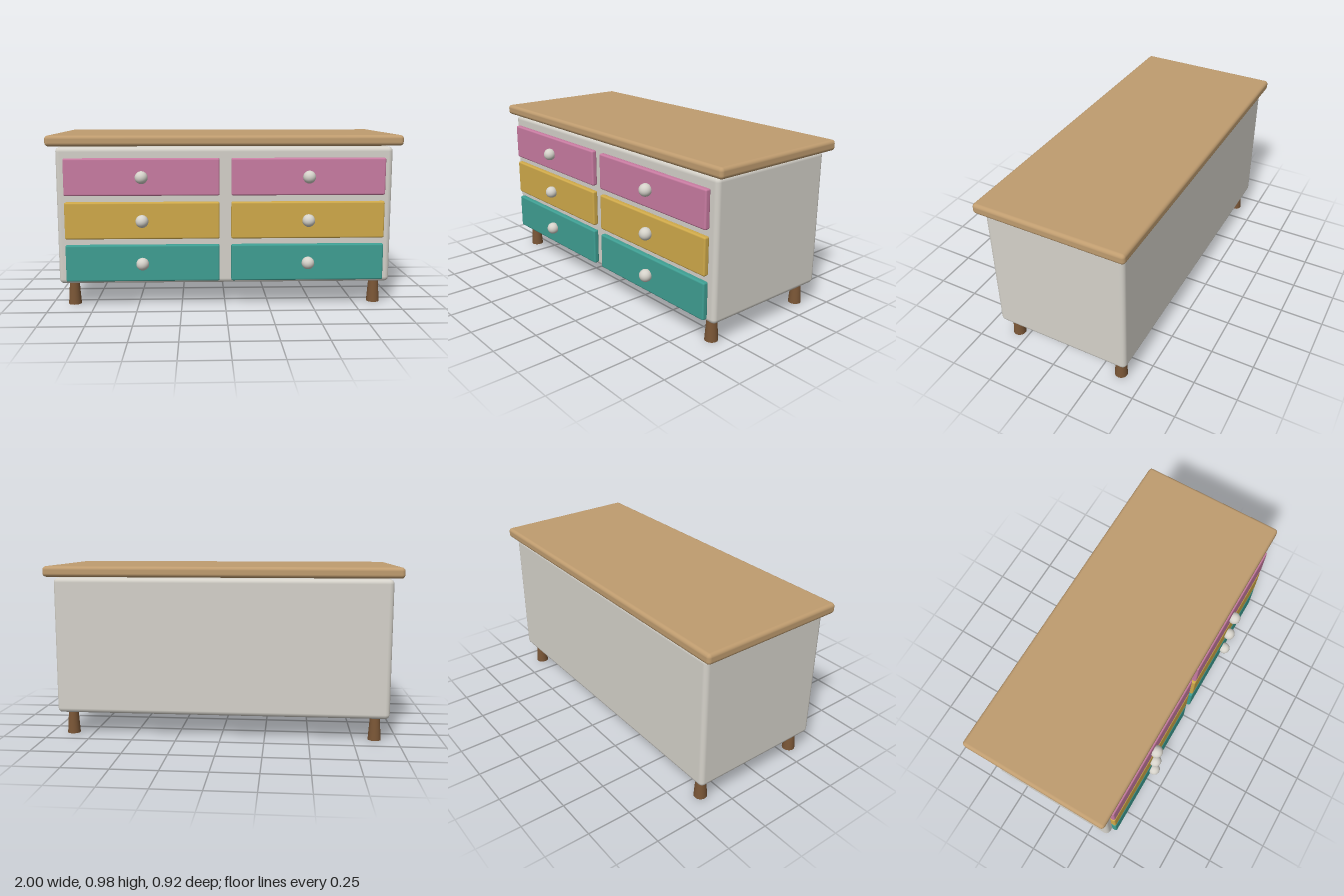
import * as THREE from 'three';
import { RoundedBoxGeometry } from 'three/addons/geometries/RoundedBoxGeometry.js';

const paint = (color) => new THREE.MeshStandardMaterial({ color });

export function createModel() {
  const model = new THREE.Group();
  const cream = paint(0xd5d2ca);
  const wood = paint(0xbf9c6f);
  const darkWood = paint(0x7a5636);

  const add = (name, geometry, material, x, y, z) => {
    const mesh = new THREE.Mesh(geometry, material);
    mesh.name = name;
    mesh.position.set(x, y, z);
    model.add(mesh);
    return mesh;
  };

  // Cabinet body and overhanging top board
  add('body', new RoundedBoxGeometry(1.9, 0.782, 0.808, 2, 0.027), cream, 0, 0.521, -0.026);
  add('topBoard', new RoundedBoxGeometry(2, 0.06, 0.87, 3, 0.02), wood, 0, 0.947, -0.026);

  // Two columns of three drawers, each with a round knob
  const drawerFront = new RoundedBoxGeometry(0.87, 0.21, 0.034, 2, 0.01);
  const knob = new THREE.SphereGeometry(0.036, 24, 16);
  const rows = [
    { name: 'bottom', y: 0.256, material: paint(0x3f9f93) },
    { name: 'middle', y: 0.5, material: paint(0xd0aa4a) },
    { name: 'top', y: 0.746, material: paint(0xc97ca2) },
  ];
  for (const [side, x] of [['Left', 0.468], ['Right', -0.468]]) {
    for (const { name, y, material } of rows) {
      add(`${name}${side}Drawer`, drawerFront, material, x, y, 0.393);
      add(`${name}${side}Knob`, knob, cream, x, y, 0.427);
    }
  }

  // Four legs, wider at the floor
  const leg = new THREE.CylinderGeometry(0.027, 0.037, 0.14, 24);
  for (const [side, x] of [['Left', 0.873], ['Right', -0.873]]) {
    add(`front${side}Leg`, leg, darkWood, x, 0.07, 0.314);
    add(`back${side}Leg`, leg, darkWood, x, 0.07, -0.366);
  }
  return model;
}
